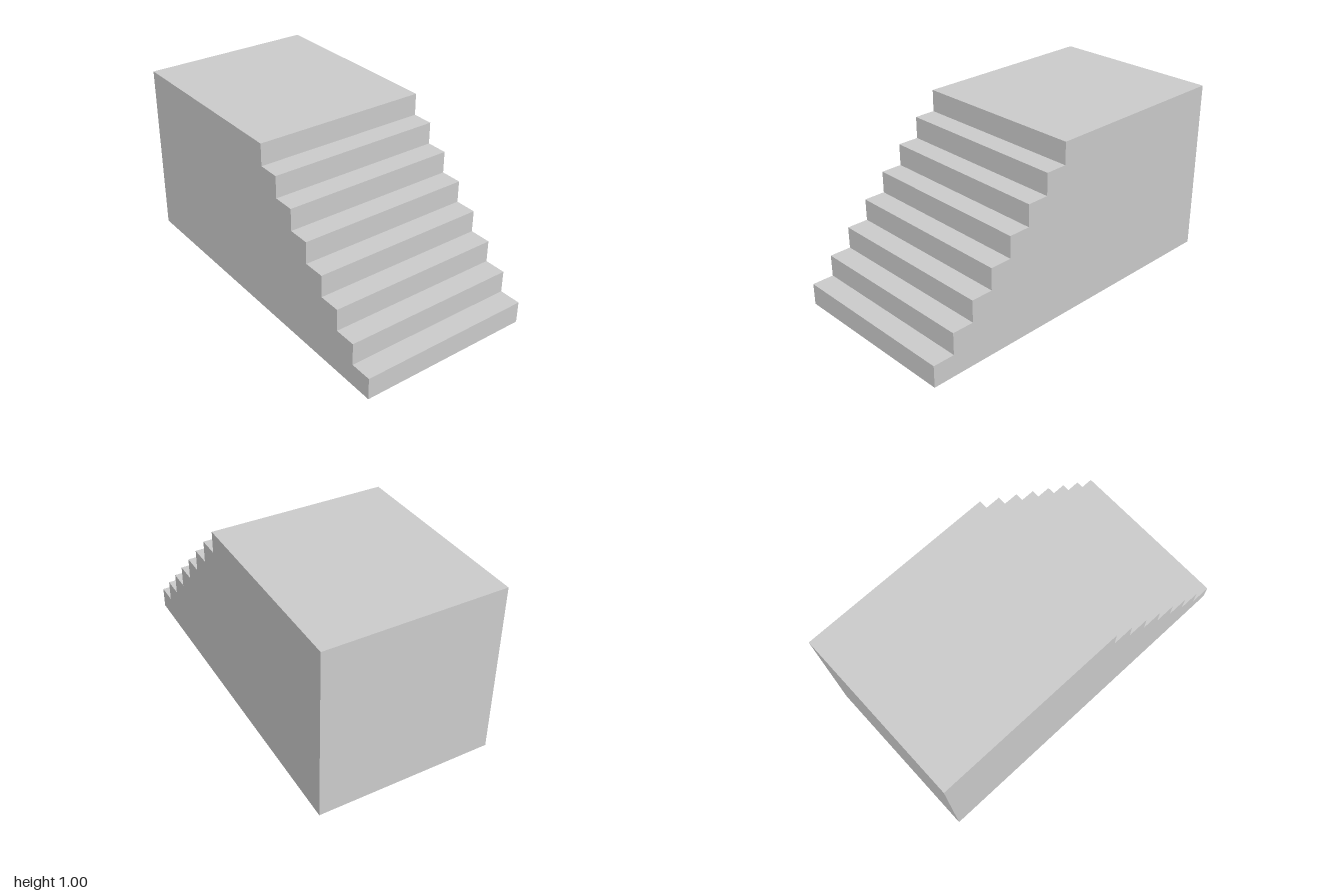
import * as THREE from 'three';

const STEPS = 8;
const RISE = 1 / STEPS;
const RUN = 0.125;
const WIDTH = 1;
const HALF_LENGTH = 1;

// Side profile: shape x becomes the model's z, shape y is height.
function stairProfile() {
  const shape = new THREE.Shape();
  shape.moveTo(-HALF_LENGTH, 0);
  shape.lineTo(HALF_LENGTH, 0);
  for (let i = 0; i < STEPS; i++) {
    const z = HALF_LENGTH - i * RUN;
    const top = (i + 1) * RISE;
    shape.lineTo(z, top); // riser
    shape.lineTo(i < STEPS - 1 ? z - RUN : -HALF_LENGTH, top); // tread, or the landing
  }
  shape.closePath();
  return shape;
}

export function createModel() {
  const group = new THREE.Group();
  group.name = 'stairsWithLanding';

  // Solid flight of steps and landing block in one extrusion across the width
  const geometry = new THREE.ExtrudeGeometry(stairProfile(), { depth: WIDTH, bevelEnabled: false });
  geometry.translate(0, 0, -WIDTH / 2);
  geometry.rotateY(-Math.PI / 2);

  const material = new THREE.MeshStandardMaterial({ color: 0xcccccc, flatShading: true });
  const stairs = new THREE.Mesh(geometry, material);
  stairs.name = 'stairs';
  group.add(stairs);

  return group;
}
